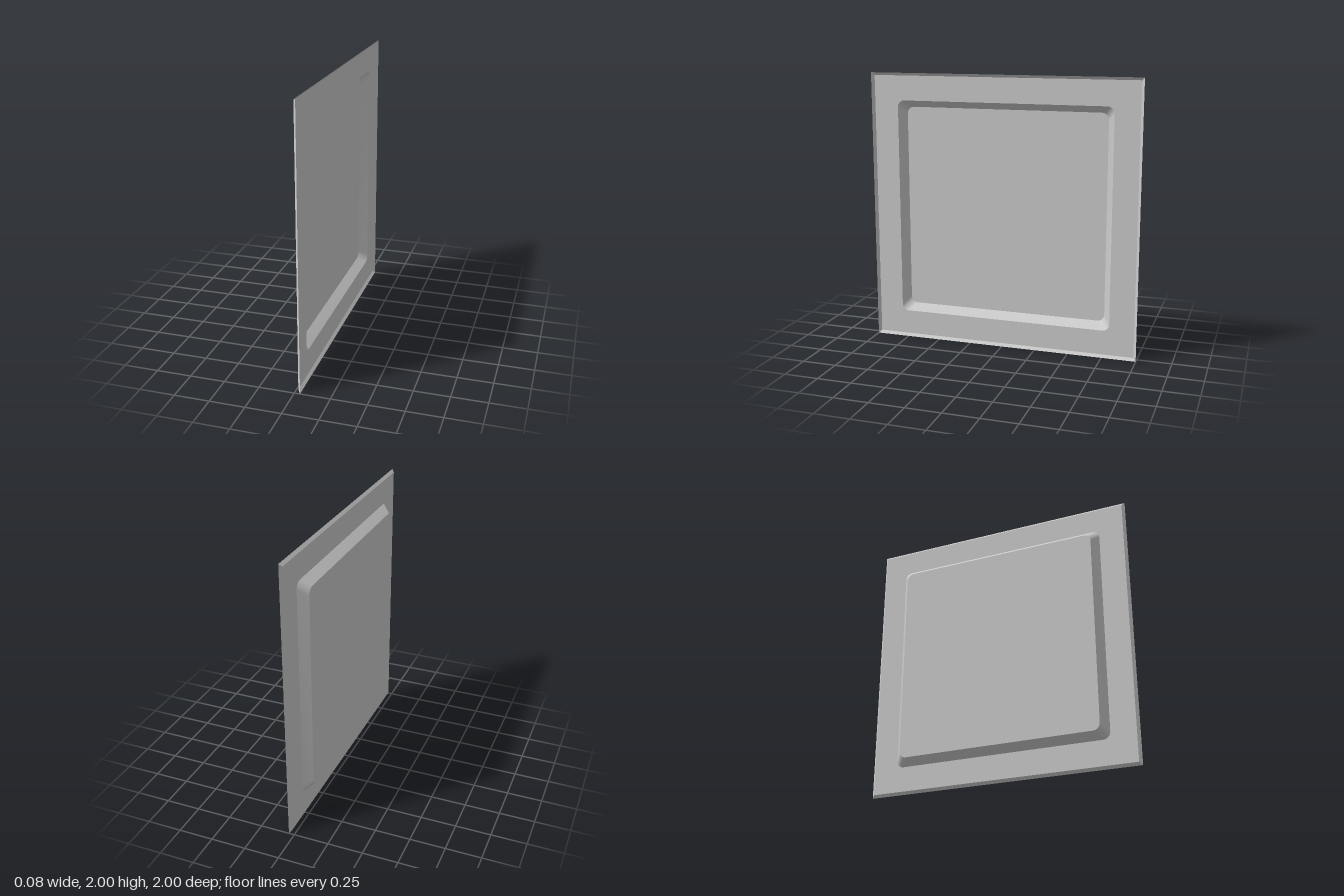
import * as THREE from 'three';
import { toCreasedNormals } from 'three/addons/utils/BufferGeometryUtils.js';

const material = new THREE.MeshStandardMaterial({ color: 0xcccccc, side: THREE.DoubleSide });

// Counter-clockwise square outline with half-size h and corner radius r
function outline(h, r = 0, steps = 8) {
  const points = [];
  for (let corner = 0; corner < 4; corner++) {
    const start = corner * Math.PI / 2;
    const cx = (h - r) * Math.SQRT2 * Math.cos(start + Math.PI / 4);
    const cy = (h - r) * Math.SQRT2 * Math.sin(start + Math.PI / 4);
    const n = r > 0 ? steps : 0;
    for (let i = 0; i <= n; i++) {
      const a = start + (n ? i / n : 0) * Math.PI / 2;
      points.push(new THREE.Vector2(cx + r * Math.cos(a), cy + r * Math.sin(a)));
    }
  }
  return points;
}

// Sloping band joining a front outline to a back outline
function band(front, zFront, back, zBack) {
  const positions = [], index = [], n = front.length;
  front.forEach(p => positions.push(p.x, p.y, zFront));
  back.forEach(p => positions.push(p.x, p.y, zBack));
  for (let i = 0; i < n; i++) {
    const j = (i + 1) % n;
    index.push(i, j, n + i, j, n + j, n + i);
  }
  const geometry = new THREE.BufferGeometry();
  geometry.setAttribute('position', new THREE.Float32BufferAttribute(positions, 3));
  geometry.setIndex(index);
  return toCreasedNormals(geometry, 0.6);
}

export function createModel() {
  const model = new THREE.Group();
  model.name = 'pressedPanel';

  const rim = outline(1), edge = outline(0.98);
  const opening = outline(0.8, 0.05), bottom = outline(0.75, 0.05);
  const rimX = 0.04, sheetX = 0.022, floorX = -0.04;

  // Outlines are drawn facing +z, then turned to face +x
  const add = (name, geometry) => {
    geometry.rotateY(Math.PI / 2).translate(0, 1, 0);
    const mesh = new THREE.Mesh(geometry, material);
    mesh.name = name;
    model.add(mesh);
  };

  // Flat border around the recess
  const border = new THREE.Shape(edge);
  border.holes.push(new THREE.Path(opening));
  add('border', new THREE.ShapeGeometry(border).translate(0, 0, sheetX));

  // Flared lip along the outer edge
  add('outerLip', band(rim, rimX, edge, sheetX));

  // Recess with sloping walls and rounded corners
  add('recessWall', band(opening, sheetX, bottom, floorX));
  add('recessFloor', new THREE.ShapeGeometry(new THREE.Shape(bottom)).translate(0, 0, floorX));

  return model;
}
